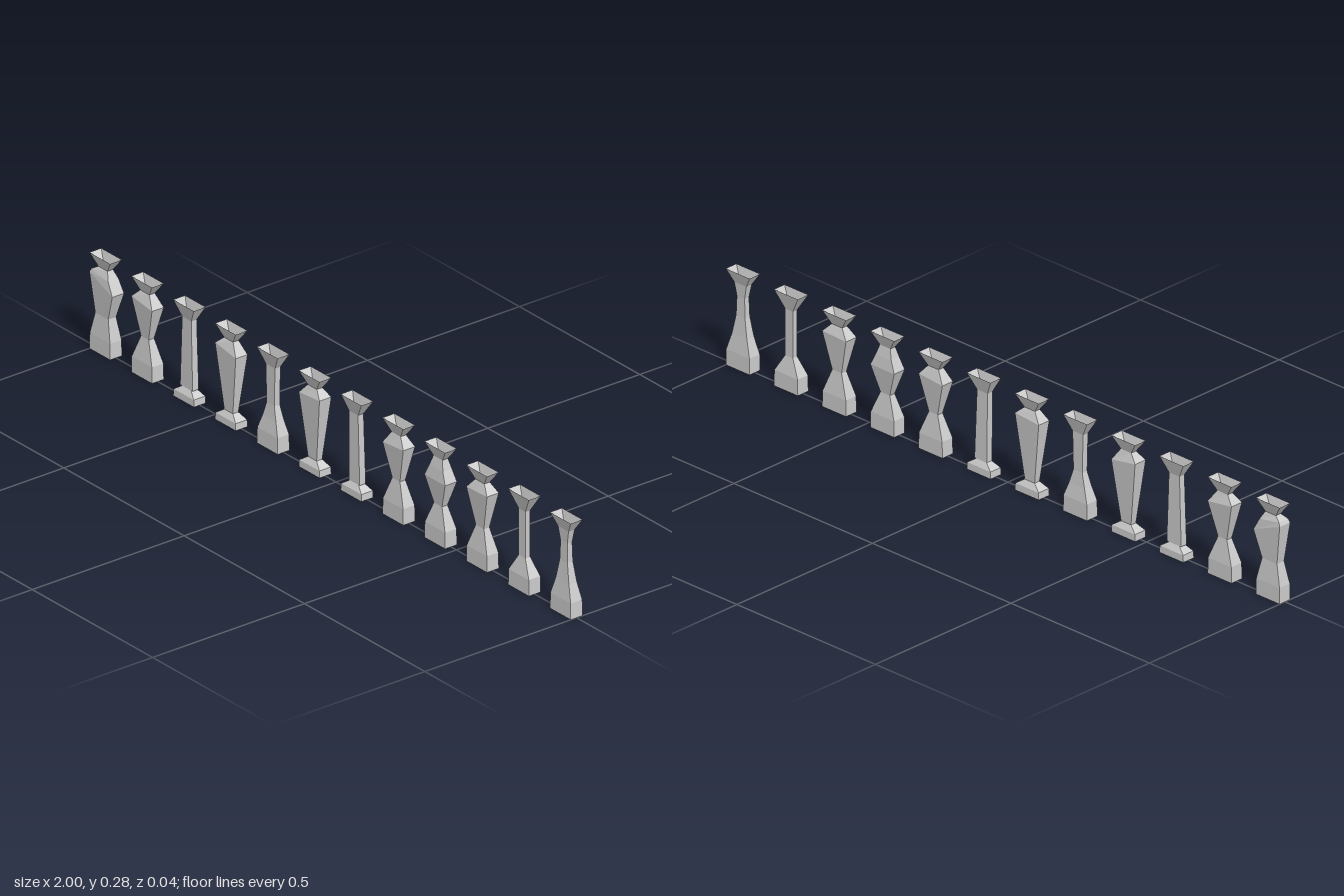
import * as THREE from 'three';

// Rings, in thousandths: [height at left edge, height at right edge, left x, right x, half depth]
const TOP = [277, 277, -43, 43, 19.5];
const NECK = [243, 243, -19, 19, 9];
const BLOCK = [[0, 0, -43, 43, 19.5], [46, 46, -42, 42, 19]]; // tall plinth
const FOOT = [[0, 0, -43, 43, 19.5], [20, 20, -42, 42, 19], [36, 36, -18, 18, 9]]; // low plinth

// Middle rings of each pillar, between plinth and flared top
const pillars = [
  [BLOCK, [108, 108, -27, 27, 13], [222, 184, -43, 52, 19.5], [232, 220, -38, 32, 17], NECK],
  [BLOCK, [112, 112, -16, 16, 9], [220, 208, -43, 43, 19.5], NECK],
  [FOOT, [36, 36, -26, 26, 10], [235, 235, -19, 19, 9]],
  [FOOT, [222, 208, -43, 43, 19.5], NECK],
  [BLOCK, [85, 85, -28, 28, 13], [125, 125, -16, 16, 9], [235, 235, -19, 19, 9]],
  [FOOT, [215, 222, -43, 43, 19.5], NECK],
  [FOOT, [36, 36, -20, 24, 10], [235, 235, -22, 16, 9]],
  [BLOCK, [112, 112, -16, 16, 9], [208, 215, -43, 43, 19.5], NECK],
  [BLOCK, [108, 108, -17, 17, 9], [182, 182, -43, 43, 19.5], [215, 215, -28, 28, 15], NECK],
  [BLOCK, [112, 112, -17, 17, 9], [215, 218, -43, 43, 19.5], NECK],
  [BLOCK, [94, 94, -14, 14, 8], [228, 228, -14, 14, 8]],
  [BLOCK, [95, 95, -27, 27, 13], [150, 150, -16, 16, 9], [205, 205, -14, 14, 8], [243, 243, -22, 22, 10]],
];

// Skin a stack of rectangular rings; closed underneath, open at the flared top
function loft(rings) {
  const pos = [], index = [];
  for (const [yl, yr, xl, xr, d] of rings) {
    pos.push(xl, yl, d, xr, yr, d, xr, yr, -d, xl, yl, -d);
  }
  for (let r = 0; r < rings.length - 1; r++) {
    for (let i = 0; i < 4; i++) {
      const a = r * 4 + i, b = r * 4 + (i + 1) % 4;
      index.push(a, b, b + 4, a, b + 4, a + 4);
    }
  }
  index.push(0, 3, 2, 0, 2, 1);
  let geo = new THREE.BufferGeometry();
  geo.setAttribute('position', new THREE.Float32BufferAttribute(pos, 3));
  geo.setIndex(index);
  geo = geo.toNonIndexed();
  geo.scale(0.001, 0.001, 0.001);
  geo.computeVertexNormals();
  return geo;
}

export function createModel() {
  const group = new THREE.Group();
  group.name = 'pillarRow';
  const material = new THREE.MeshStandardMaterial({
    color: 0xcccccc, flatShading: true, side: THREE.DoubleSide,
  });
  const spacing = 1.914 / (pillars.length - 1);
  pillars.forEach(([plinth, ...middle], i) => {
    const pillar = new THREE.Mesh(loft([...plinth, ...middle, TOP]), material);
    pillar.name = 'pillar' + (i + 1);
    pillar.position.x = -0.957 + i * spacing;
    group.add(pillar);
  });
  return group;
}
